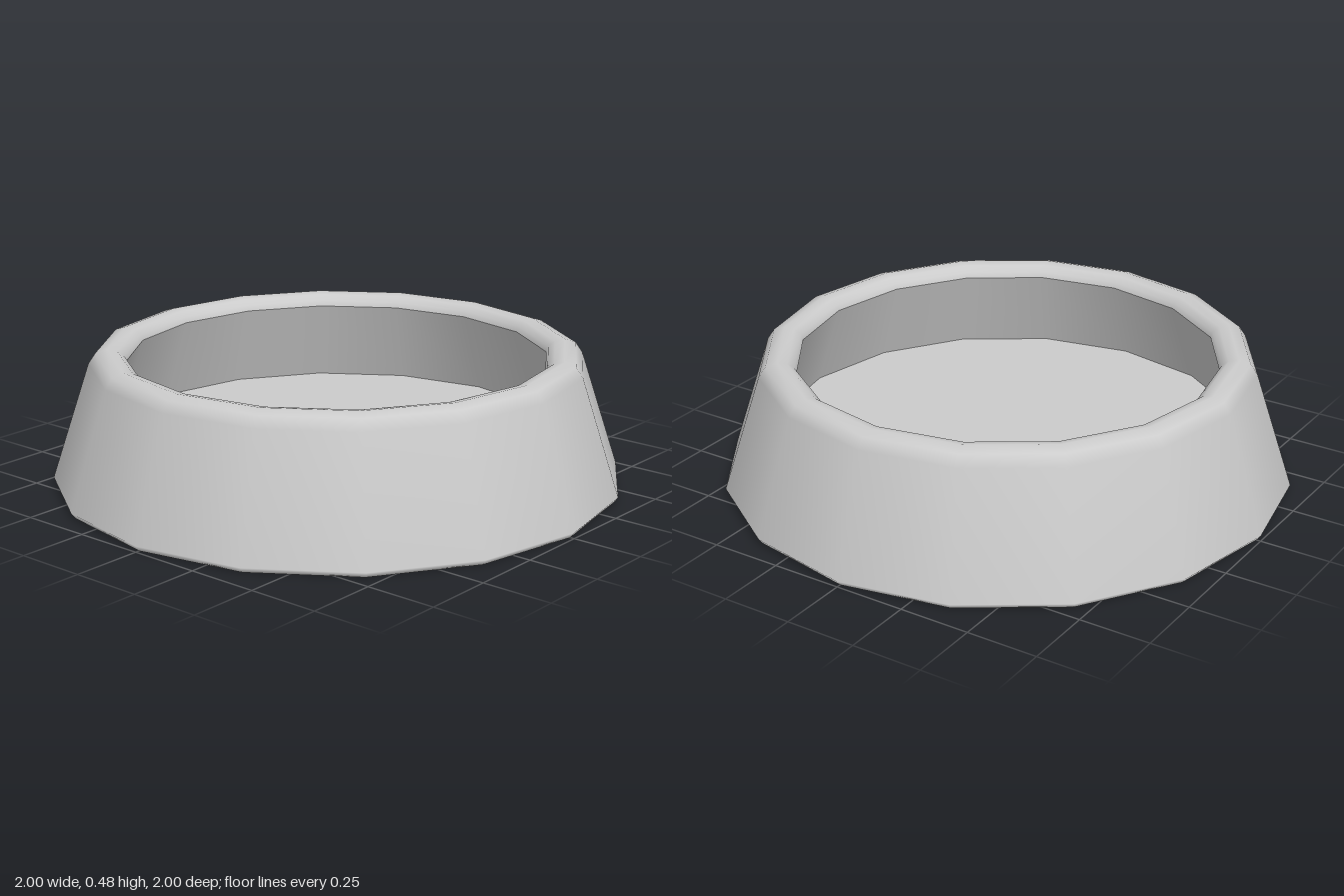
import * as THREE from 'three';

export function createModel() {
  const group = new THREE.Group();
  group.name = 'bowl';
  const material = new THREE.MeshStandardMaterial({ color: 0xcccccc });
  const sides = 16;

  // Smooth-shaded ring of revolution from [radius, height] points
  const addLathe = (name, points) => {
    const profile = points.map(([r, y]) => new THREE.Vector2(r, y));
    const mesh = new THREE.Mesh(new THREE.LatheGeometry(profile, sides), material);
    mesh.name = name;
    group.add(mesh);
  };

  // Underside, sloping outer wall and rounded rim
  addLathe('outerShell', [
    [0, 0], [0.985, 0], [1, 0.02],
    [0.865, 0.43], [0.84, 0.467], [0.8, 0.48],
    [0.765, 0.473], [0.742, 0.455], [0.735, 0.435],
  ]);

  // Inner wall runs parallel to the outer one, widening towards the floor
  addLathe('innerWall', [[0.735, 0.435], [0.838, 0.138]]);

  // Flat floor
  addLathe('floor', [[0.838, 0.138], [0, 0.138]]);

  return group;
}
